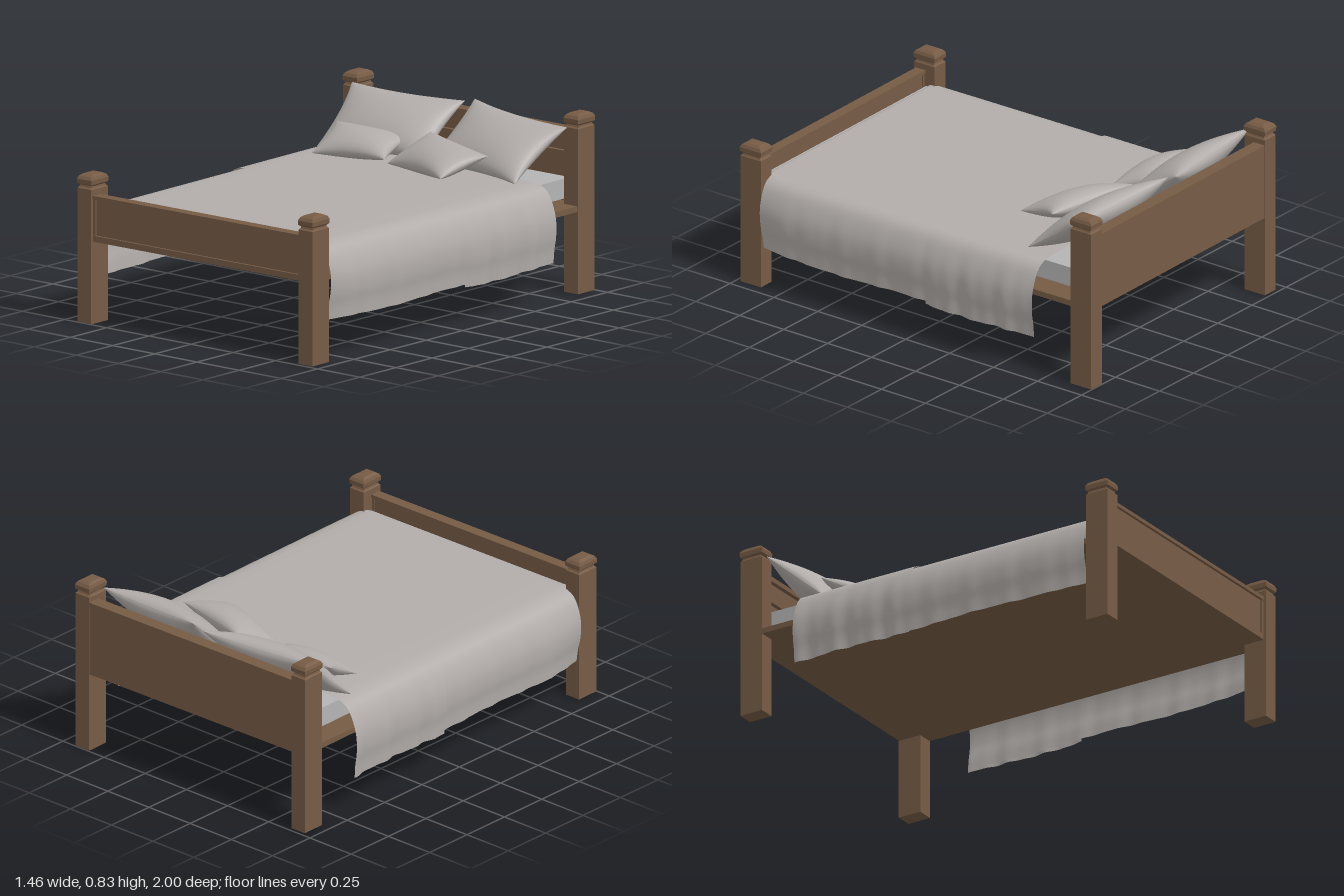
import * as THREE from 'three';
import { mergeGeometries } from 'three/addons/utils/BufferGeometryUtils.js';

const mat = (name, color, side = THREE.FrontSide) => {
  const m = new THREE.MeshStandardMaterial({ color, side });
  m.name = name;
  return m;
};

// Smooth surface from fn(a, b) -> [x, y, z]; faces up when a runs along x and b along z
function grid(na, nb, fn) {
  const pos = [], index = [];
  for (let i = 0; i <= na; i++)
    for (let j = 0; j <= nb; j++) pos.push(...fn(i / na, j / nb));
  for (let i = 0; i < na; i++)
    for (let j = 0; j < nb; j++) {
      const p = i * (nb + 1) + j, q = p + nb + 1;
      index.push(p, p + 1, q, q, p + 1, q + 1);
    }
  const g = new THREE.BufferGeometry();
  g.setAttribute('position', new THREE.Float32BufferAttribute(pos, 3));
  g.setIndex(index);
  g.computeVertexNormals();
  return g;
}

export function createModel() {
  const wood = mat('wood', 0x765b45);
  const linen = mat('linen', 0xb2adaa, THREE.DoubleSide);
  const sheet = mat('mattress fabric', 0xb4b4b4);

  const bed = new THREE.Group();
  bed.name = 'bed';
  bed.rotation.y = 0.013;

  const add = (name, geometry, material) => {
    const m = new THREE.Mesh(geometry, material);
    m.name = name;
    bed.add(m);
    return m;
  };
  // Box given by its limits on each axis
  const box = (name, x0, x1, y0, y1, z0, z1, material = wood) =>
    add(name, new THREE.BoxGeometry(x1 - x0, y1 - y0, z1 - z0), material)
      .position.set((x0 + x1) / 2, (y0 + y1) / 2, (z0 + z1) / 2);

  // Square finial: narrow neck, swollen band, domed top
  const capProfile = [[0.041, 0], [0.036, 0.006], [0.034, 0.014], [0.042, 0.022], [0.043, 0.042],
    [0.037, 0.056], [0.025, 0.065], [0, 0.067]];
  const capGeo = new THREE.LatheGeometry(
    capProfile.map(([r, y]) => new THREE.Vector2(r * Math.SQRT2, y)), 4, Math.PI / 4).toNonIndexed();
  capGeo.computeVertexNormals();

  // Corner posts
  for (const s of [-1, 1])
    for (const [end, z, h] of [['foot', 0.93, 0.62], ['head', -0.93, 0.762]]) {
      box(end + 'Post', s * 0.648 - 0.04, s * 0.648 + 0.04, 0, h, z - 0.058, z + 0.058);
      const cap = add(end + 'PostCap', capGeo, wood);
      cap.position.set(s * 0.648, h, z);
      cap.scale.z = 1.4;
    }

  // Footboard: panel with raised rails
  box('footPanel', -0.61, 0.61, 0.38, 0.585, 0.935, 0.965);
  box('footTopRail', -0.61, 0.61, 0.575, 0.592, 0.925, 0.978);
  box('footBottomRail', -0.61, 0.61, 0.38, 0.408, 0.928, 0.976);
  for (const s of [-1, 1]) box('footStile', s * 0.606 - 0.01, s * 0.606 + 0.01, 0.38, 0.59, 0.93, 0.974);

  // Headboard: flat back, rails facing the bed
  box('headPanel', -0.61, 0.61, 0.38, 0.735, -0.985, -0.945);
  box('headTopRail', -0.61, 0.61, 0.715, 0.738, -0.987, -0.925);
  box('headMiddleRail', -0.61, 0.61, 0.61, 0.635, -0.95, -0.925);
  box('headBottomRail', -0.61, 0.61, 0.38, 0.41, -0.95, -0.925);

  // Base board and mattress
  box('baseBoard', -0.685, 0.685, 0.38, 0.406, -0.95, 0.95);
  box('mattress', -0.6, 0.6, 0.428, 0.52, -0.92, 0.915, sheet);

  // Blanket section across the bed, hanging over both sides
  const side = [[0.56, 0.532], [0.61, 0.527], [0.655, 0.505], [0.685, 0.46], [0.708, 0.39],
    [0.71, 0.31], [0.7, 0.25], [0.695, 0.19]];
  const section = new THREE.CatmullRomCurve3([
    ...side.map(([x, y]) => new THREE.Vector3(-x, y, 0)).reverse(),
    new THREE.Vector3(0, 0.532, 0),
    ...side.map(([x, y]) => new THREE.Vector3(x, y, 0))], false, 'centripetal');
  const drape = (z0, z1, grow, wave) => grid(96, 60, (a, b) => {
    const p = section.getPointAt(a);
    const z = z0 + (z1 - z0) * b;
    const low = THREE.MathUtils.clamp((0.53 - p.y) / 0.34, 0, 1);
    const s = Math.sign(p.x);
    const ripple = wave * low * (Math.sin(z * 34 + s) + 0.6 * Math.sin(z * 61 + 2 * s));
    const taper = 0.025 * low * THREE.MathUtils.smoothstep(z, 0.68, 0.88);
    const hem = low * low * 0.004 * Math.sin(z * 9 + s);
    return [p.x + s * (low > 0.01 ? grow + ripple - taper : 0),
      p.y + grow * 0.4 * (1 - low) - grow * low + hem, z];
  });
  add('blanket', drape(-0.64, 0.87, 0.003, 0.003), linen);
  add('foldedBlanket', drape(-0.68, -0.065, 0.013, 0.005), linen);
  // End of the blanket tucked in behind the footboard
  add('blanketTuck', grid(12, 8, (a, b) => [(a - 0.5) * 1.2, 0.533 - 0.09 * b ** 3, 0.868 + 0.052 * Math.sin(b * 1.57)]), linen);

  // Pillows: two domed faces meeting at a seam with drawn-out corners
  const pillow = (name, w, d, t, x, y, z, turn, tilt, roll = 0) => {
    const half = (dir) => grid(28, 24, (a, b) => {
      const u = Math.sin((a - 0.5) * Math.PI), v = dir * Math.sin((b - 0.5) * Math.PI);
      const puff = Math.max(0, (1 - u * u) * (1 - v * v)) ** 0.48;
      return [w / 2 * u * (0.91 + 0.09 * v * v),
        dir * t / 2 * puff + 0.012 * u * v,
        d / 2 * v * (0.88 + 0.12 * u * u)];
    });
    const m = add(name, mergeGeometries([half(1), half(-1)]), linen);
    m.position.set(x, y, z);
    m.rotation.set(tilt, turn, roll, 'YXZ');
  };
  pillow('largePillowRight', 0.62, 0.38, 0.15, -0.32, 0.663, -0.755, 0.08, 0.66, 0.03);
  pillow('largePillowLeft', 0.6, 0.38, 0.15, 0.31, 0.663, -0.75, -0.15, 0.66, -0.03);
  pillow('smallPillowRight', 0.4, 0.23, 0.11, -0.33, 0.603, -0.57, 0.11, 0.38);
  pillow('smallPillowLeft', 0.47, 0.26, 0.12, 0.155, 0.615, -0.52, -0.32, 0.38);

  const model = new THREE.Group();
  model.name = 'bedModel';
  model.add(bed);
  return model;
}
